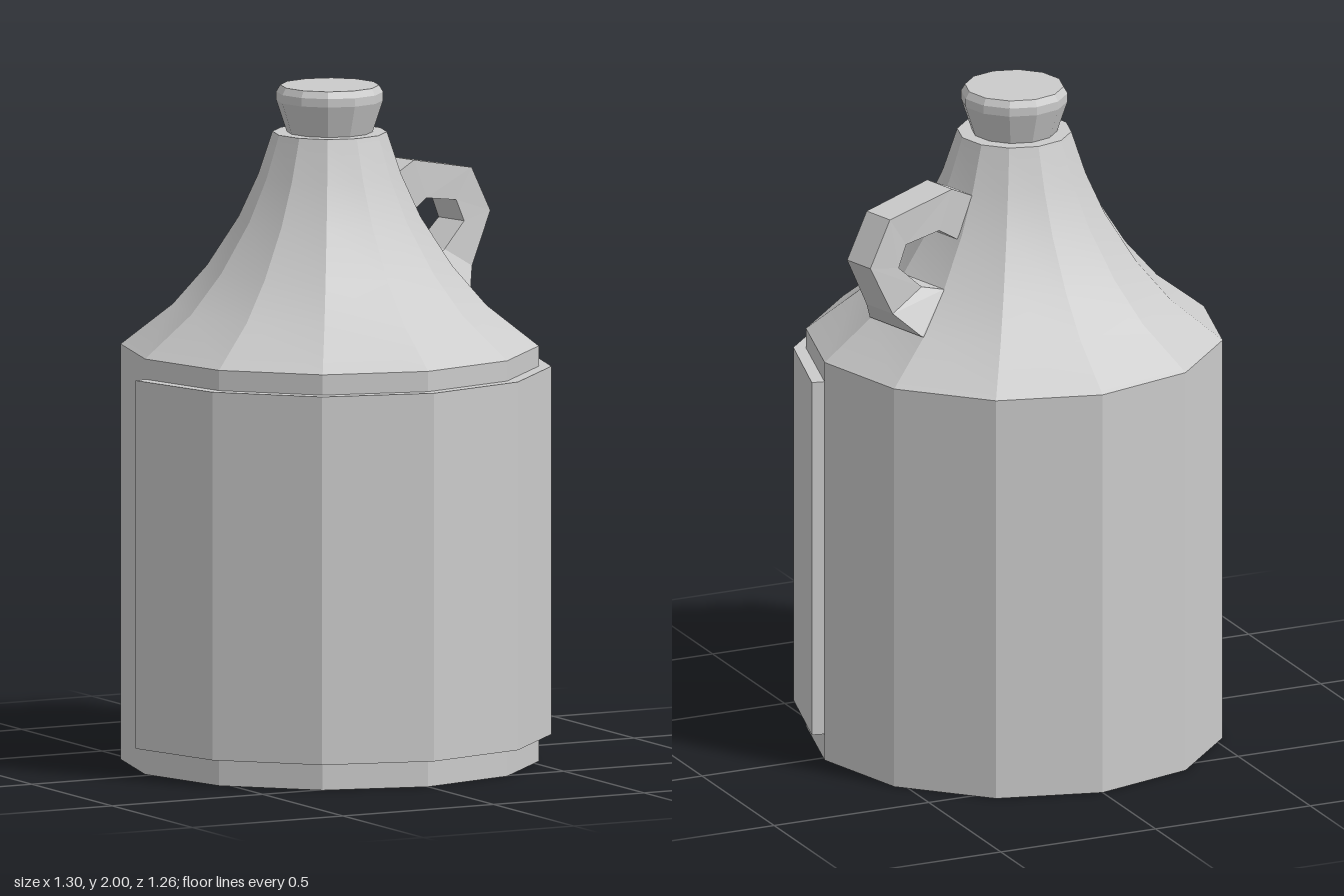
import * as THREE from 'three';
import { toCreasedNormals } from 'three/addons/utils/BufferGeometryUtils.js';

const SIDES = 12;
const material = new THREE.MeshStandardMaterial({ color: 0xcccccc });

function addMesh(parent, name, geometry) {
  const mesh = new THREE.Mesh(geometry, material);
  mesh.name = name;
  parent.add(mesh);
  return mesh;
}

// Faceted around the axis, smooth along the profile
function turned(profile) {
  const points = profile.map(([r, y]) => new THREE.Vector2(r, y));
  return toCreasedNormals(new THREE.LatheGeometry(points, SIDES), 0.3);
}

// Half-round panel hugging the front of the body
function labelGeometry(inner, outer, height) {
  const shape = new THREE.Shape();
  const half = SIDES / 2;
  const arc = (r, i, dy = 0) => {
    const a = Math.PI + (i / half) * Math.PI;
    return [r * Math.cos(a), r * Math.sin(a) + dy];
  };
  shape.moveTo(...arc(inner, 0));
  for (let i = 0; i <= half; i++) shape.lineTo(...arc(outer, i, i % half === 0 ? -0.01 : 0));
  for (let i = half; i > 0; i--) shape.lineTo(...arc(inner, i));
  shape.closePath();
  const geometry = new THREE.ExtrudeGeometry(shape, { depth: height, bevelEnabled: false });
  return geometry.rotateX(-Math.PI / 2);
}

// Four-sided strap lofted through sections:
// [outer x, outer y, outer half width, inner x, inner y, inner half width]
function strapGeometry(sections) {
  const rings = sections.map(([ox, oy, ow, ix, iy, iw]) => [
    [ox, oy, ow], [ox, oy, -ow], [ix, iy, -iw], [ix, iy, iw],
  ]);
  const positions = [];
  const quad = (a, b, c, d) => positions.push(...a, ...b, ...c, ...a, ...c, ...d);
  for (let i = 0; i < rings.length - 1; i++) {
    for (let k = 0; k < 4; k++) {
      const n = (k + 1) % 4;
      quad(rings[i][k], rings[i + 1][k], rings[i + 1][n], rings[i][n]);
    }
  }
  quad(...rings[0]);
  quad(...rings[rings.length - 1].slice().reverse());
  const geometry = new THREE.BufferGeometry();
  geometry.setAttribute('position', new THREE.Float32BufferAttribute(positions, 3));
  geometry.computeVertexNormals();
  return geometry;
}

export function createModel() {
  const model = new THREE.Group();
  model.name = 'jug';
  const jug = new THREE.Group();
  jug.name = 'jugParts';
  jug.position.z = -0.02;
  model.add(jug);

  // Straight body with a concave shoulder rising to the neck
  addMesh(jug, 'body', turned([
    [0, 0], [0.613, 0], [0.613, 1.23], [0.46, 1.35], [0.36, 1.465],
    [0.267, 1.61], [0.21, 1.735], [0.168, 1.862], [0, 1.862],
  ]));

  // Flared stopper with a bevelled top
  addMesh(jug, 'stopper', turned([
    [0, 1.85], [0.122, 1.85], [0.157, 1.955], [0.157, 1.98], [0.145, 2], [0, 2],
  ]));

  // Raised label panel around the front half
  const label = addMesh(jug, 'label', labelGeometry(0.605, 0.65, 1.09));
  label.position.y = 0.08;

  // Loop handle, flaring where it meets the shoulder
  const handle = addMesh(jug, 'handle', strapGeometry([
    [0.19, 1.71, 0.057, 0.24, 1.58, 0.057],
    [0.285, 1.755, 0.057, 0.335, 1.638, 0.057],
    [0.52, 1.71, 0.053, 0.458, 1.62, 0.053],
    [0.595, 1.575, 0.053, 0.488, 1.555, 0.055],
    [0.515, 1.42, 0.06, 0.405, 1.48, 0.06],
    [0.452, 1.35, 0.12, 0.347, 1.468, 0.093],
    [0.4, 1.33, 0.11, 0.3, 1.44, 0.09],
  ]));
  handle.rotation.y = Math.PI / SIDES;

  return model;
}
